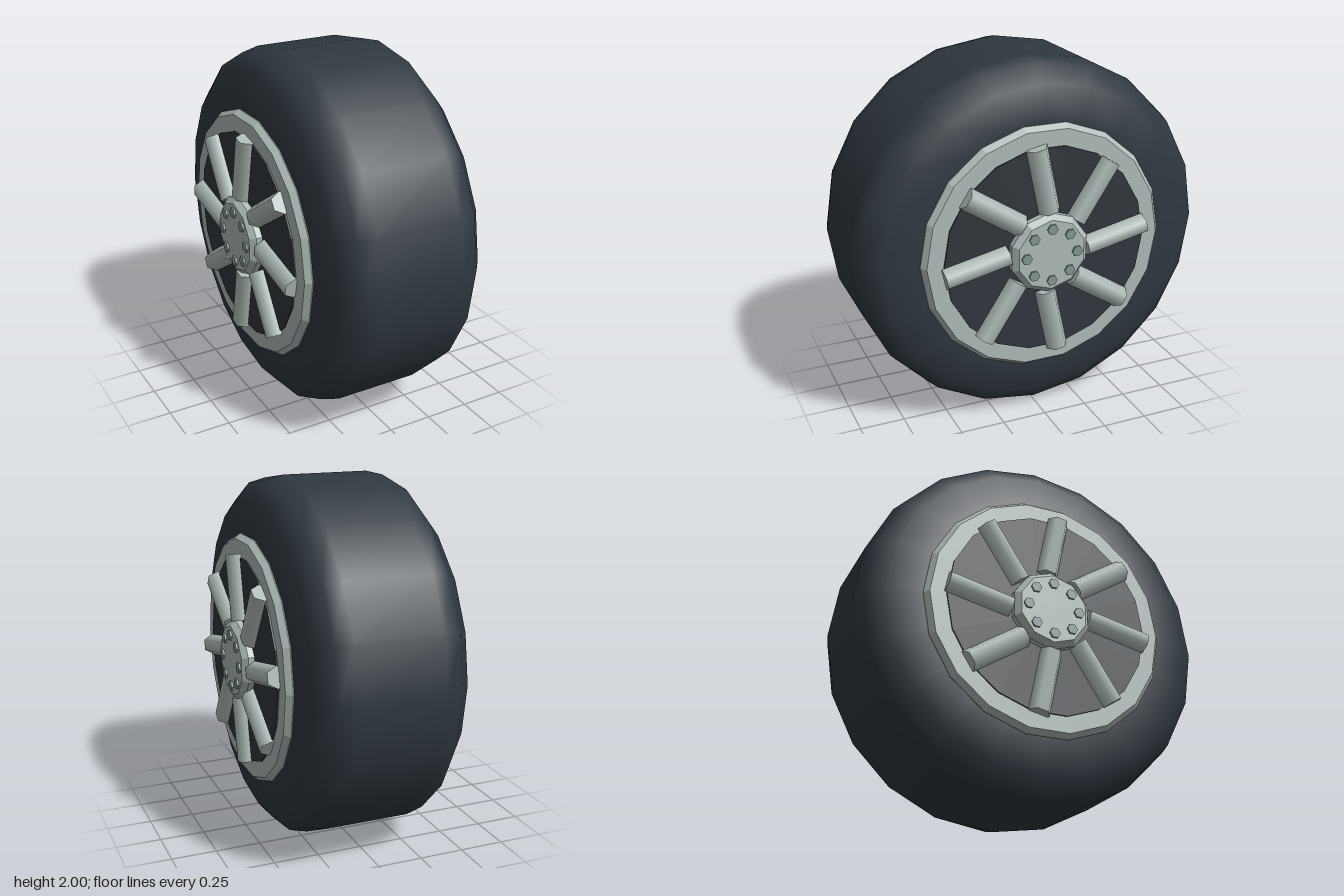
import * as THREE from 'three';

const mat = (name, color, extra = {}) => {
  const m = new THREE.MeshStandardMaterial({ color, ...extra });
  m.name = name;
  return m;
};

// Lathe around the x axis; profile is [radius, x] with x increasing
function turned(profile, sides, phiStart = 0) {
  const pts = profile.map(([r, x]) => new THREE.Vector2(r, x));
  return new THREE.LatheGeometry(pts, sides, phiStart).rotateZ(-Math.PI / 2);
}

function part(name, geometry, material) {
  const mesh = new THREE.Mesh(geometry, material);
  mesh.name = name;
  return mesh;
}

export function createModel() {
  const rubber = mat('rubber', 0x2f3840);
  const darkDisc = mat('dark disc', 0x30373d, { flatShading: true });
  const metalFlat = mat('rim metal', 0xafbcb9, { flatShading: true });
  const metal = mat('spoke metal', 0xafbcb9);
  const boltMetal = mat('bolt metal', 0x829795, { flatShading: true });

  const model = new THREE.Group();
  model.name = 'wheel';

  // Tire
  const half = [[0.5, 0.45], [0.7, 0.45], [0.88, 0.42], [0.975, 0.34], [1, 0.24]];
  const profile = [...half.map(([r, x]) => [r, -x]), ...half.slice().reverse()];
  const tire = part('tire', turned(profile, 20), rubber);
  tire.position.y = 1;
  model.add(tire);

  // One face of the wheel, built facing +x; dir flips the lean of the spokes
  function wheelFace(name, dir) {
    const face = new THREE.Group();
    face.name = name;

    face.add(part('rimRing', turned([[0.69, 0.43], [0.69, 0.455], [0.665, 0.487], [0.55, 0.487]], 18), metalFlat));
    face.add(part('innerDisc', turned([[0.575, 0.43], [0.575, 0.496], [0, 0.496]], 18), darkDisc));
    face.add(part('hub', turned([[0.225, 0.48], [0.225, 0.53], [0.195, 0.56], [0, 0.56]], 10, Math.PI / 2), metalFlat));

    // Leaning spokes and the bolt circle
    const spokeGeo = new THREE.CylinderGeometry(0.06, 0.06, 0.36, 6)
      .rotateX(dir * THREE.MathUtils.degToRad(12))
      .translate(0.497, 0.4, dir * 0.028);
    const boltGeo = new THREE.CylinderGeometry(0.03, 0.03, 0.03, 6).rotateZ(-Math.PI / 2);
    for (let i = 0; i < 8; i++) {
      const a = (i * Math.PI) / 4;
      const spoke = part('spoke', spokeGeo, metal);
      spoke.rotation.x = a;
      const bolt = part('bolt', boltGeo, boltMetal);
      bolt.position.set(0.556, 0.145 * Math.cos(a), 0.145 * Math.sin(a));
      face.add(spoke, bolt);
    }
    face.position.y = 1;
    return face;
  }

  const left = wheelFace('leftFace', 1);
  const right = wheelFace('rightFace', -1);
  right.rotation.y = Math.PI;
  model.add(left, right);
  return model;
}
